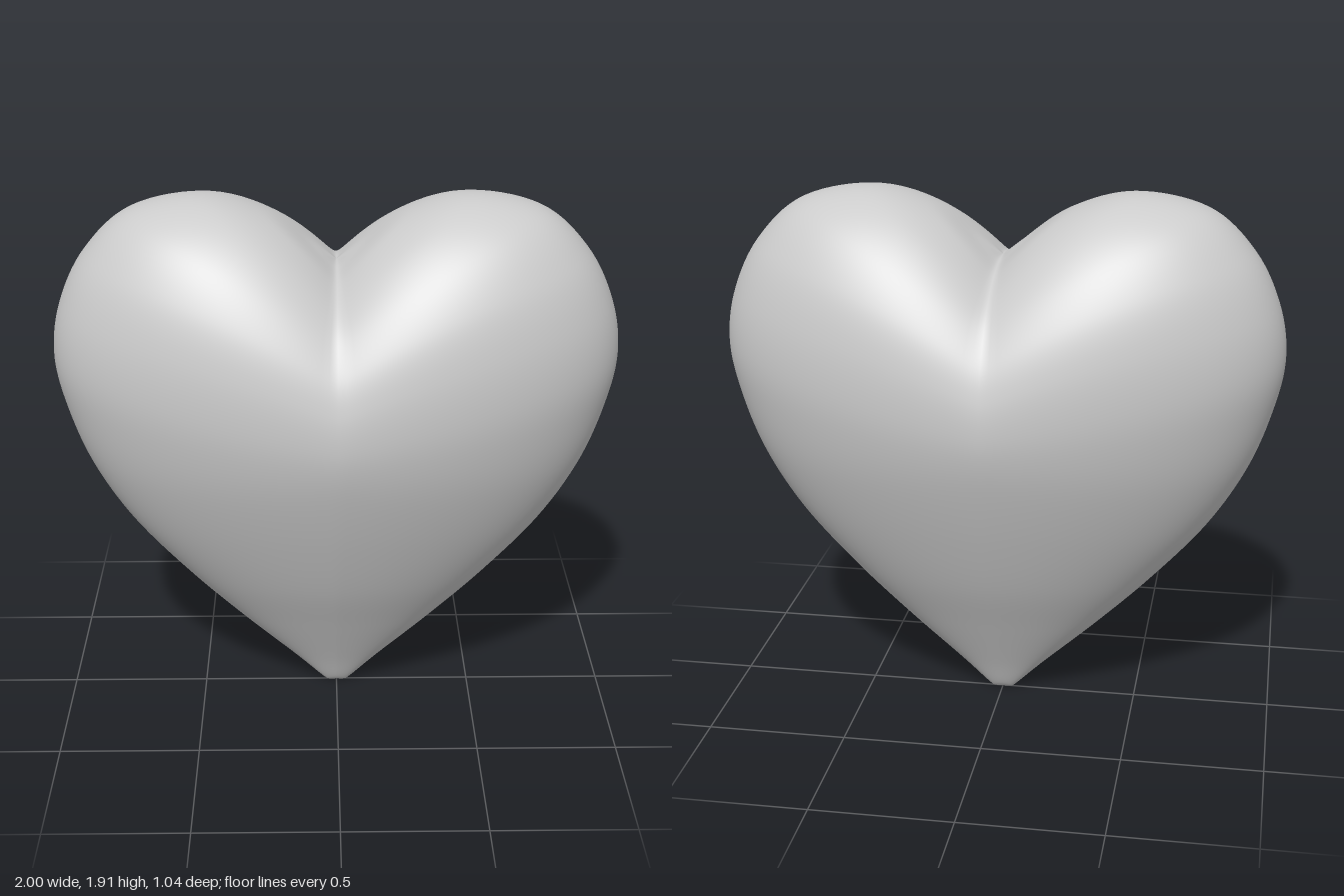
import * as THREE from 'three';
import { mergeVertices } from 'three/addons/utils/BufferGeometryUtils.js';

// Meridians from the cleft down to the tip: [half width, its height, half depth, its height]
const PROFILE = [
  [0, 1.685, 0, 1.685], [0.09, 1.752, 0.08, 1.68], [0.25, 1.86, 0.19, 1.655],
  [0.47, 1.915, 0.30, 1.60], [0.72, 1.865, 0.395, 1.52], [0.88, 1.72, 0.473, 1.405],
  [0.97, 1.54, 0.51, 1.29], [1, 1.36, 0.52, 1.18], [0.97, 1.18, 0.507, 1.07],
  [0.89, 0.955, 0.466, 0.93], [0.755, 0.73, 0.392, 0.735], [0.56, 0.505, 0.296, 0.52],
  [0.36, 0.305, 0.19, 0.325], [0.16, 0.12, 0.086, 0.135], [0.055, 0.018, 0.032, 0.03],
  [0.03, 0, 0.01, 0.005], [0, 0, 0, 0],
];

const sideCurve = new THREE.SplineCurve(PROFILE.map((p) => new THREE.Vector2(p[0], p[1])));
const frontCurve = new THREE.SplineCurve(PROFILE.map((p) => new THREE.Vector2(p[2], p[3])));

// A sphere whose rings become ellipses, lifted towards the sides to form the two lobes
function heartGeometry() {
  const geometry = new THREE.SphereGeometry(1, 192, 128);
  const { position, uv } = geometry.attributes;
  for (let i = 0; i < position.count; i++) {
    const angle = uv.getX(i) * Math.PI * 2;
    const t = THREE.MathUtils.clamp(1 - uv.getY(i), 0, 1);
    const side = sideCurve.getPoint(t);
    const front = frontCurve.getPoint(t);
    const c = Math.cos(angle);
    const lower = THREE.MathUtils.smoothstep(t, 0.35, 0.65);

    // Round the bottom of the crease a little, and make the lobes swell quickly out of it
    const round = 0.015 / (side.x + 0.015);
    const a = (Math.hypot(c, round) - round) / (Math.hypot(1, round) - round);
    const lobe = a * (1 + 0.65 * side.x * (1 - a));
    const lift = THREE.MathUtils.lerp(lobe, c * c, lower);

    // A faint keel runs down the middle of the lower half
    const keel = 1 - 0.04 * lower * Math.abs(Math.sin(2 * angle));
    position.setXYZ(
      i,
      -side.x * c,
      Math.max(0, THREE.MathUtils.lerp(front.y, side.y, lift)),
      front.x * Math.sin(angle) * keel,
    );
  }
  // Weld the seam so the shading is continuous
  geometry.deleteAttribute('uv');
  geometry.deleteAttribute('normal');
  const welded = mergeVertices(geometry, 1e-5);
  welded.computeVertexNormals();
  return welded;
}

export function createModel() {
  const group = new THREE.Group();
  group.name = 'heart';
  const body = new THREE.Mesh(heartGeometry(), new THREE.MeshStandardMaterial({ color: 0xcccccc }));
  body.name = 'heartBody';
  group.add(body);
  return group;
}
